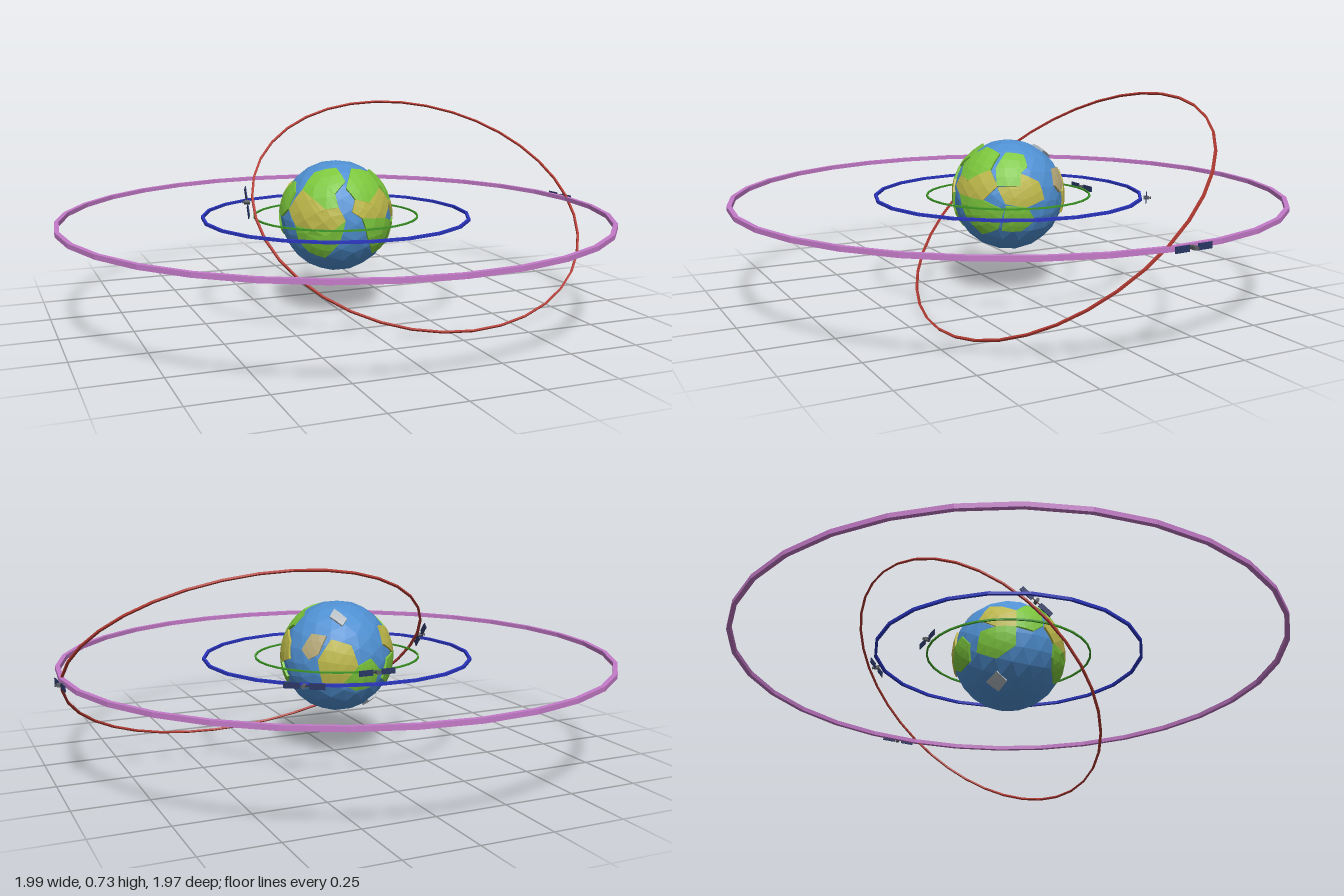
import * as THREE from 'three';

const CENTER = new THREE.Vector3(-0.012, 0.353, 0.004);
const RADIUS = 0.199;
const mat = (color) => new THREE.MeshStandardMaterial({ color, flatShading: true });
const V = (x, y, z) => new THREE.Vector3(x, y, z);

function add(parent, name, geometry, material, pos = [0, 0, 0]) {
  const mesh = new THREE.Mesh(geometry, material);
  mesh.name = name;
  mesh.position.set(...pos);
  parent.add(mesh);
  return mesh;
}

// Turns a point drawn on one side of a unit ball into a direction
const SIDES = {
  front: (u, v, w) => V(u, v, w),
  back: (u, v, w) => V(-u, v, -w),
  right: (u, v, w) => V(w, v, -u),
  left: (u, v, w) => V(-w, v, u),
  top: (u, v, w) => V(u, w, -v),
  bottom: (u, v, w) => V(u, -w, v),
};

const TERRAIN = { grass: mat(0x7cc63c), plain: mat(0xbdb84a), sand: mat(0xb5a878), ice: mat(0xb4bcc2) };

// Raised land plate: a faceted cap over an outline, with cliffs down into the ocean
function land(planet, kind, side, outline) {
  let dirs = outline.map(([u, v]) =>
    SIDES[side](u, v, Math.sqrt(Math.max(0, 1 - u * u - v * v))).normalize());
  const mid = dirs.reduce((sum, d) => sum.add(d), V(0, 0, 0)).normalize();
  const turn = dirs.reduce((sum, d, i) =>
    sum + V().crossVectors(d, dirs[(i + 1) % dirs.length]).dot(mid), 0);
  if (turn < 0) dirs = dirs.reverse();

  const points = [];
  const at = (d, scale) => d.clone().multiplyScalar(RADIUS * scale);
  const half = (a, b) => a.clone().add(b).normalize();
  const cap = (...tri) => points.push(...tri.map((d) => at(d, 1.03)));
  const cliff = (a, b) => points.push(at(a, 0.97), at(b, 0.97), at(b, 1.03),
    at(a, 0.97), at(b, 1.03), at(a, 1.03));
  dirs.forEach((a, i) => {
    const b = dirs[(i + 1) % dirs.length];
    const ab = half(a, b), am = half(a, mid), bm = half(b, mid);
    cap(a, ab, am);
    cap(ab, b, bm);
    cap(ab, bm, am);
    cap(am, bm, mid);
    cliff(a, ab);
    cliff(ab, b);
  });
  const g = new THREE.BufferGeometry().setFromPoints(points);
  g.computeVertexNormals();
  add(planet, kind + 'Land', g, TERRAIN[kind]);
}

function createPlanet() {
  const planet = new THREE.Group();
  planet.name = 'planet';
  planet.position.copy(CENTER);
  add(planet, 'ocean', new THREE.IcosahedronGeometry(RADIUS, 3), mat(0x4f90d2));

  // western continent
  land(planet, 'grass', 'front', [[-.75, .55], [-.5, .82], [-.15, .9], [-.1, .7], [-.32, .52], [-.3, .3], [-.5, .27]]);
  land(planet, 'plain', 'front', [[-.95, .2], [-.75, .55], [-.5, .27], [-.3, .3], [-.2, .08], [-.42, -.1], [-.9, -.05]]);
  land(planet, 'grass', 'front', [[-.9, -.05], [-.42, -.1], [-.2, .08], [-.28, -.3], [-.45, -.6], [-.7, -.5], [-.85, -.3]]);
  // eastern continent
  land(planet, 'grass', 'front', [[-.12, .6], [.1, .88], [.45, .8], [.55, .55], [.25, .35], [0, .42]]);
  land(planet, 'plain', 'front', [[0, .42], [.25, .35], [.55, .55], [.75, .3], [.6, .05], [.1, .1], [-.08, .22]]);
  land(planet, 'grass', 'front', [[.1, .1], [.6, .05], [.85, -.1], [.7, -.45], [.4, -.58], [.22, -.25]]);
  land(planet, 'grass', 'right', [[-.6, .3], [-.55, .58], [-.3, .82], [-.03, .78], [-.05, .6], [-.2, .5], [-.25, .3]]);
  land(planet, 'plain', 'right', [[-.6, .28], [-.25, .3], [-.2, .5], [.1, .35], [.18, .05], [-.15, -.06], [-.5, 0]]);
  land(planet, 'grass', 'right', [[-.5, -.03], [-.15, -.06], [.02, -.3], [-.2, -.5], [-.5, -.48]]);
  // northern outpost and back continent
  land(planet, 'sand', 'right', [[.5, .52], [.7, .5], [.72, .2], [.6, .1], [.45, .25]]);
  land(planet, 'plain', 'back', [[-.68, .1], [-.45, .45], [-.15, .35], [-.05, 0], [-.3, -.3], [-.6, -.3]]);
  land(planet, 'grass', 'back', [[-.05, 0], [.2, .1], [.38, -.1], [.3, -.4], [-.05, -.45], [-.3, -.3]]);
  // far western land
  land(planet, 'grass', 'left', [[-.25, .45], [0, .65], [.22, .5], [.2, .2], [0, .05], [-.3, .1]]);
  land(planet, 'plain', 'left', [[-.25, .45], [-.3, .1], [-.6, .1], [-.8, .3], [-.6, .6]]);
  land(planet, 'grass', 'left', [[-.3, .1], [-.6, .1], [-.8, .05], [-.82, -.3], [-.55, -.45], [-.3, -.25]]);
  // ice floes
  land(planet, 'ice', 'top', [[.1, .65], [.22, .72], [.36, .5], [.22, .38]]);
  land(planet, 'ice', 'bottom', [[-.6, -.5], [-.35, -.58], [-.35, -.35], [-.58, -.3]]);
  return planet;
}

// Faceted ring with a square section, lying flat
function ring(parent, name, radius, t, segments, color, pos = CENTER.toArray()) {
  const profile = [[-t, -t], [t, -t], [t, t], [-t, t], [-t, -t]]
    .map(([r, y]) => new THREE.Vector2(radius + r, y));
  const g = new THREE.LatheGeometry(profile, segments, Math.PI / 2);
  return add(parent, name, g, mat(color), pos);
}

// Satellite: local x along the orbit, y across the orbit plane, z outward
function createSatellite(name, position, tangent, normal) {
  const sat = new THREE.Group();
  sat.name = name;
  const grey = mat(0x5c6065), dark = mat(0x33363a), blue = mat(0x2a3766);
  add(sat, 'body', new THREE.BoxGeometry(0.011, 0.012, 0.02), grey);
  add(sat, 'panelAxle', new THREE.BoxGeometry(0.04, 0.003, 0.003), dark);
  const dish = new THREE.ConeGeometry(0.006, 0.008, 8).rotateX(Math.PI / 2);
  add(sat, 'dish', dish, grey, [0, 0, -0.012]);
  for (const s of [-1, 1])
    add(sat, 'solarPanel', new THREE.BoxGeometry(0.053, 0.02, 0.003), blue, [s * 0.042, 0, 0]);
  const x = tangent.clone().normalize(), y = normal.clone().normalize();
  const z = V().crossVectors(x, y);
  sat.quaternion.setFromRotationMatrix(new THREE.Matrix4().makeBasis(x, y, z));
  sat.position.copy(position);
  return sat;
}

export function createModel() {
  const model = new THREE.Group();
  model.name = 'planetWithOrbits';
  model.add(createPlanet());

  ring(model, 'innerOrbit', 0.294, 0.003, 32, 0x3f9a28);
  ring(model, 'middleOrbit', 0.478, 0.005, 22, 0x2a35c0);
  ring(model, 'outerOrbit', 0.977, 0.008, 32, 0xc47ac8);

  // Tilted elliptical orbit
  const tilt = 0.704;
  const ellipse = ring(model, 'tiltedOrbit', 0.557, 0.0035, 36, 0xb03a32, [0.325, 0.363, 0.006]);
  ellipse.scale.x = 0.638 / 0.557;
  ellipse.rotation.x = tilt;

  // Satellites on the flat orbits: distance from the planet and heading
  const up = V(0, 1, 0);
  [['innerSatellite', 0.315, Math.PI / 2 + 0.02], ['middleSatellite', 0.496, 0.936],
    ['outerSatellite', 0.996, 0.07]].forEach(([name, r, a]) => {
    const p = V(r * Math.cos(a), 0, -r * Math.sin(a)).add(CENTER);
    model.add(createSatellite(name, p, V(Math.sin(a), 0, Math.cos(a)), up));
  });
  // Satellite on the tilted orbit
  model.add(createSatellite('tiltedSatellite', V(-0.33, 0.412, -0.042),
    V(0.12, Math.sin(tilt), -Math.cos(tilt)), V(0, Math.cos(tilt), Math.sin(tilt))));
  return model;
}
